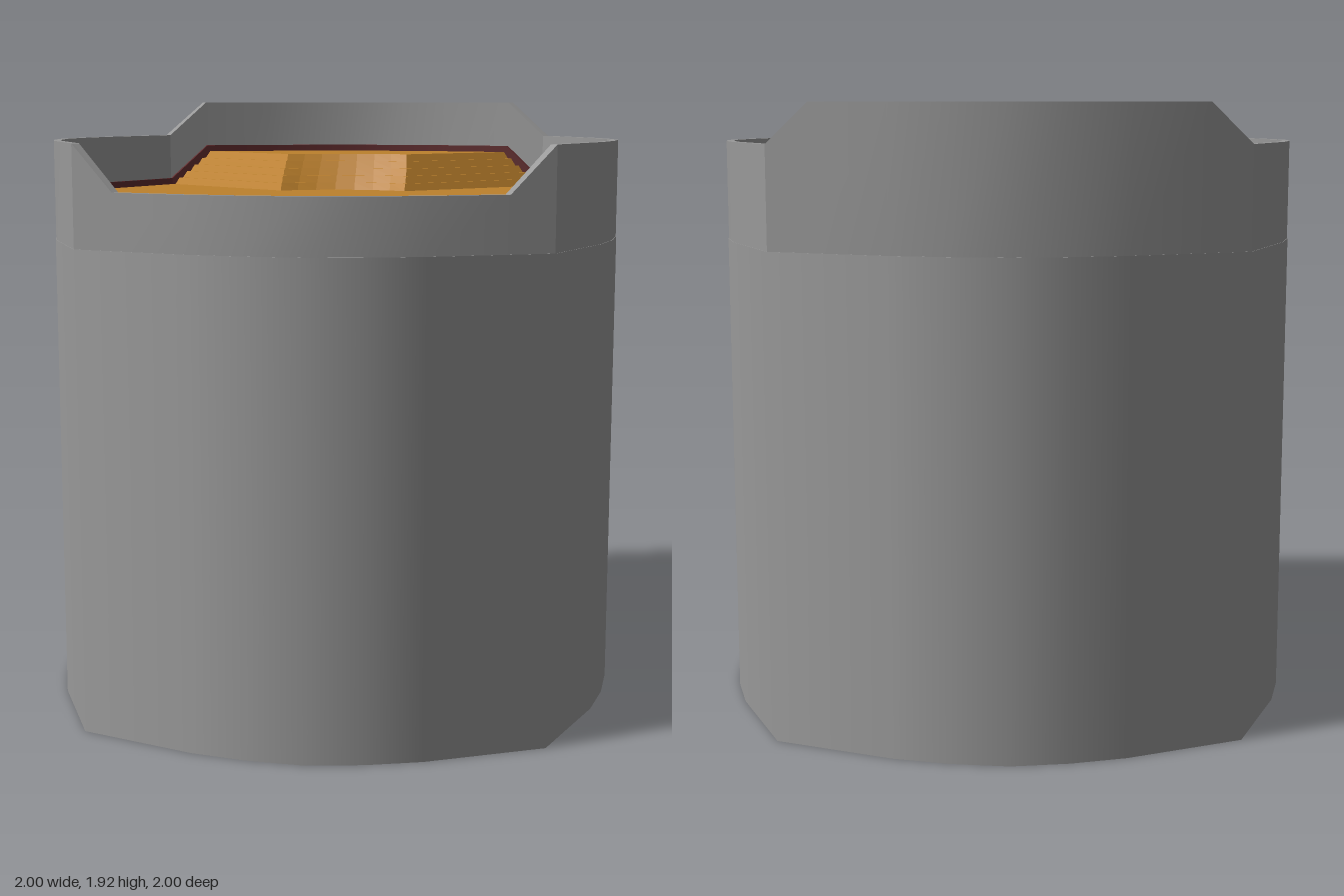
import * as THREE from 'three';
import { toCreasedNormals } from 'three/addons/utils/BufferGeometryUtils.js';

// Plan coordinates are (x, y) with y = -z. One quarter of the pointed outline:
const MID = [[0.85, 0.36], [0.76, 0.51], [0.65, 0.65], [0.51, 0.76], [0.36, 0.85]];
const QUARTER = [[1, 0], ...MID];
const RIM_QUARTER = [[1, 0], [0.946, 0.13], ...MID, [0.13, 0.946]];
const RISE = [0.12, 0, -0.14, 0]; // rim offset per quarter: high, mid, low, mid
const INSIDE = 0.965;             // floor outline relative to the outer outline
const STEPS = 5, PITCH = 0.027, RISER = 0.015, STEP_HEIGHT = 0.024, FLOOR = 1.62;

const turn = ([x, y], k) => [[x, y], [-y, x], [-x, -y], [y, -x]][k];
const scale = (pts, s) => pts.map(([x, y]) => [x * s, y * s]);

function surface(quads) {
  const pos = [];
  for (const [a, b, c, d] of quads) pos.push(...a, ...b, ...c, ...a, ...c, ...d);
  const g = new THREE.BufferGeometry();
  g.setAttribute('position', new THREE.Float32BufferAttribute(pos, 3));
  return g;
}

// Cylinder pulled onto the pointed outline, keeping its round, smooth shading
function baseBody(height) {
  const outline = [0, 1, 2, 3].flatMap(k => QUARTER.map(p => turn(p, k)));
  const n = outline.length;
  const g = new THREE.CylinderGeometry(1, 1, height, n).translate(0, height / 2, 0);
  const pos = g.attributes.position;
  for (let i = 0; i < pos.count; i++) {
    const x = pos.getX(i), z = pos.getZ(i);
    if (Math.hypot(x, z) < 0.5) continue; // cap centres stay
    const k = Math.round(Math.atan2(-z, x) / (2 * Math.PI) * n);
    const [px, py] = outline[(k + n) % n];
    pos.setX(i, px);
    pos.setZ(i, -py);
  }
  return g;
}

// Upright wall following the outline, its top rising and dipping by quarter
function wall(outer, inner, bottom, top) {
  const rings = [];
  for (let k = 0; k < 4; k++) {
    RIM_QUARTER.forEach((p, i) => {
      const [x, y] = turn(p, k);
      const h = top + (i ? RISE[k] : 0);
      rings.push([[outer, bottom], [outer, h], [inner, h], [inner, bottom]]
        .map(([s, v]) => [x * s, v, -y * s]));
    });
  }
  const quads = [];
  rings.forEach((r, i) => {
    const n = rings[(i + 1) % rings.length];
    for (let j = 0; j < 3; j++) quads.push([r[j], n[j], n[j + 1], r[j + 1]]);
  });
  return toCreasedNormals(surface(quads), Math.PI / 6);
}

// Step edge at distance d from the axes, curving around the central disc
function contour(d) {
  const end = INSIDE - d * 0.15 / 0.36, R = 0.3 + 1.12 * d, a = Math.asin(d / R), n = 7;
  const pts = [[end, d]];
  for (let i = 0; i <= n; i++) {
    const t = a + (Math.PI / 2 - 2 * a) * i / n;
    pts.push([R * Math.cos(t), R * Math.sin(t)]);
  }
  return [...pts, [d, end]];
}

// Flight of steps in one quarter: dir +1 climbs, -1 descends
function steps(start, dir) {
  const profile = [];
  for (let i = 0; i < STEPS; i++) {
    profile.push([start + i * PITCH, FLOOR + dir * i * STEP_HEIGHT],
      [start + i * PITCH + RISER, FLOOR + dir * (i + 1) * STEP_HEIGHT]);
  }
  const rows = profile.map(([d, h]) => contour(d).map(([x, y]) => [dir * x, h, -dir * y]));
  const quads = [];
  for (let i = 0; i + 1 < rows.length; i++) {
    for (let j = 0; j + 1 < rows[i].length; j++) {
      quads.push([rows[i][j], rows[i + 1][j], rows[i + 1][j + 1], rows[i][j + 1]]);
    }
  }
  const g = surface(quads);
  g.computeVertexNormals();
  return g;
}

function flat(pts, y) {
  const shape = new THREE.Shape(pts.map(p => new THREE.Vector2(...p)));
  return new THREE.ShapeGeometry(shape).rotateX(-Math.PI / 2).translate(0, y, 0);
}

export function createModel() {
  const model = new THREE.Group();
  const paint = color => new THREE.MeshStandardMaterial({ color, side: THREE.DoubleSide });
  const grey = paint(0x999999), ochre = paint(0xbd812d), maroon = paint(0x5e2a2c);
  const add = (name, geometry, material) => {
    const mesh = new THREE.Mesh(geometry, material);
    mesh.name = name;
    model.add(mesh);
  };

  // Solid base, rim, and the thin liner inside the rim
  add('base', baseBody(1.49), grey);
  add('rim', wall(0.998, 0.972, 1.49, 1.8), grey);
  add('liner', wall(0.973, INSIDE - 0.003, 1.49, 1.642), maroon);

  // Middle floor: two full quarters joined through the central disc
  const side = k => scale([...QUARTER, [0, 1]].map(p => turn(p, k)), INSIDE);
  const highStart = 0.01, lowStart = 0.001;
  add('middleFloor', flat([
    ...contour(highStart), ...side(1),
    ...contour(lowStart).map(p => turn(p, 2)), ...side(3),
  ], FLOOR), ochre);

  // Raised and sunken quarters with their steps
  for (const [name, dir, start] of [['high', 1, highStart], ['low', -1, lowStart]]) {
    add(name + 'Steps', steps(start, dir), ochre);
    const edge = contour(start + (STEPS - 1) * PITCH + RISER).reverse();
    const pts = [...edge, ...scale(MID, INSIDE)].map(([x, y]) => [dir * x, dir * y]);
    add(name + 'Floor', flat(pts, FLOOR + dir * STEPS * STEP_HEIGHT), ochre);
  }
  return model;
}
